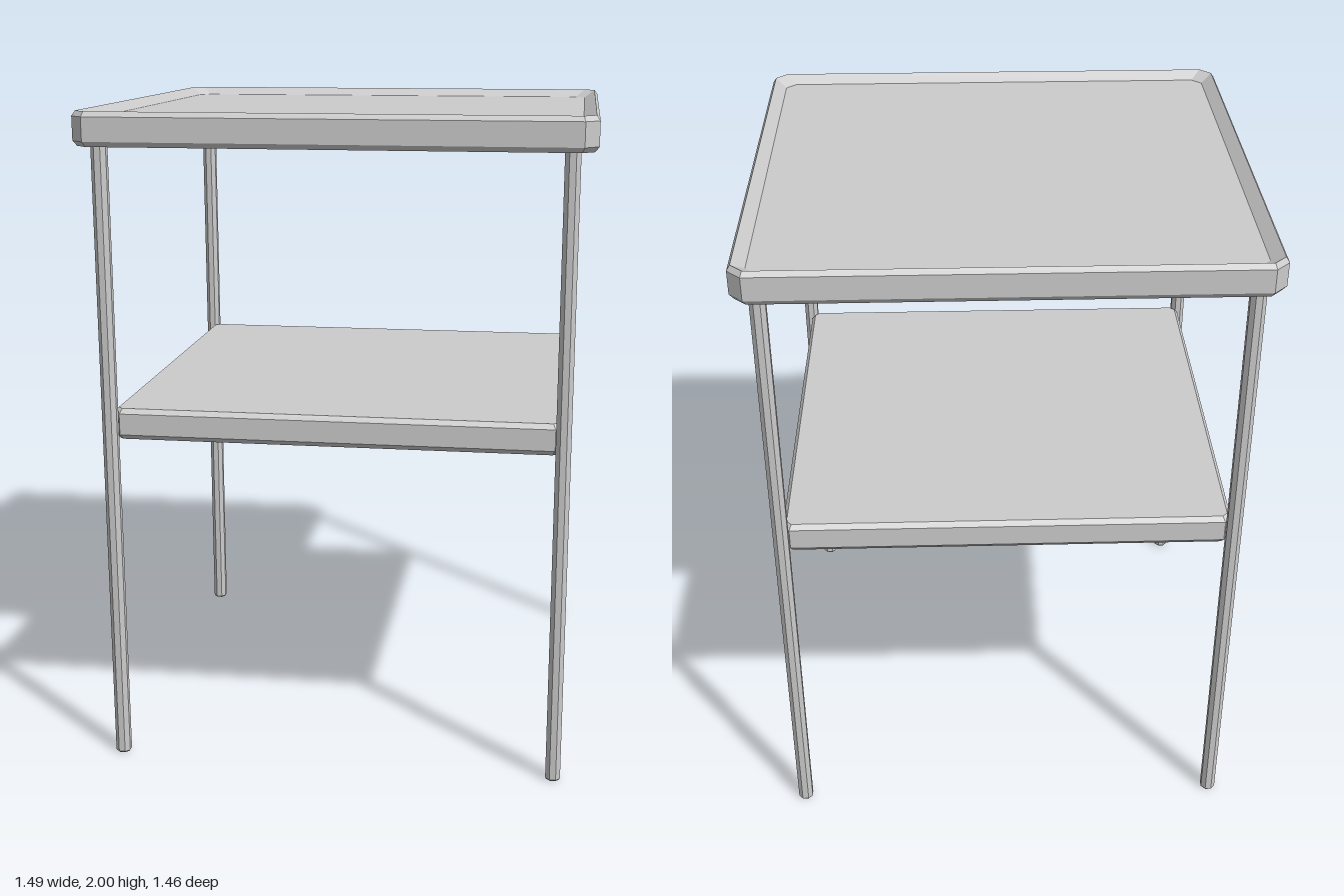
import * as THREE from 'three';

const material = new THREE.MeshStandardMaterial({ color: 0xcccccc, flatShading: true });

// Rectangle with cut corners: half sizes w and d, corner cut c
function ring([w, d, c, y]) {
  return [
    [w, d - c], [w - c, d], [c - w, d], [-w, d - c],
    [-w, c - d], [c - w, -d], [w - c, -d], [w, c - d],
  ].map(([x, z]) => new THREE.Vector3(x, y, z));
}

// Skin a stack of rings, starting at the underside, and close both ends
function loft(name, sections) {
  const rings = sections.map(ring);
  const points = [];
  const last = rings[rings.length - 1];
  for (let r = 0; r < rings.length - 1; r++) {
    const a = rings[r], b = rings[r + 1];
    for (let i = 0; i < 8; i++) {
      const j = (i + 1) % 8;
      points.push(a[i], b[i], b[j], a[i], b[j], a[j]);
    }
  }
  for (let i = 1; i < 7; i++) {
    points.push(rings[0][0], rings[0][i], rings[0][i + 1]);
    points.push(last[0], last[i + 1], last[i]);
  }
  const geometry = new THREE.BufferGeometry().setFromPoints(points);
  geometry.computeVertexNormals();
  const mesh = new THREE.Mesh(geometry, material);
  mesh.name = name;
  return mesh;
}

export function createModel() {
  const group = new THREE.Group();
  group.name = 'sideTable';

  // Tray top: bevelled outer wall, narrow rim, sloping down to a sunken floor
  group.add(loft('trayTop', [
    [0.735, 0.72, 0.035, 1.9],
    [0.747, 0.73, 0.04, 1.915],
    [0.747, 0.73, 0.04, 1.985],
    [0.737, 0.72, 0.035, 2.0],
    [0.702, 0.687, 0.03, 1.975],
  ]));

  // Lower shelf: flat slab with bevelled edges, held between the legs
  group.add(loft('lowerShelf', [
    [0.66, 0.645, 0.015, 1.02],
    [0.672, 0.657, 0.02, 1.035],
    [0.672, 0.657, 0.02, 1.1],
    [0.66, 0.645, 0.015, 1.115],
  ]));

  // Four slim eight-sided legs with slightly bevelled feet
  for (const sx of [-1, 1]) {
    for (const sz of [-1, 1]) {
      const leg = loft('leg', [
        [0.019, 0.019, 0.011, 0],
        [0.0225, 0.0225, 0.013, 0.005],
        [0.0225, 0.0225, 0.013, 1.91],
      ]);
      leg.position.set(sx * 0.676, 0, sz * 0.669);
      group.add(leg);
    }
  }
  return group;
}
